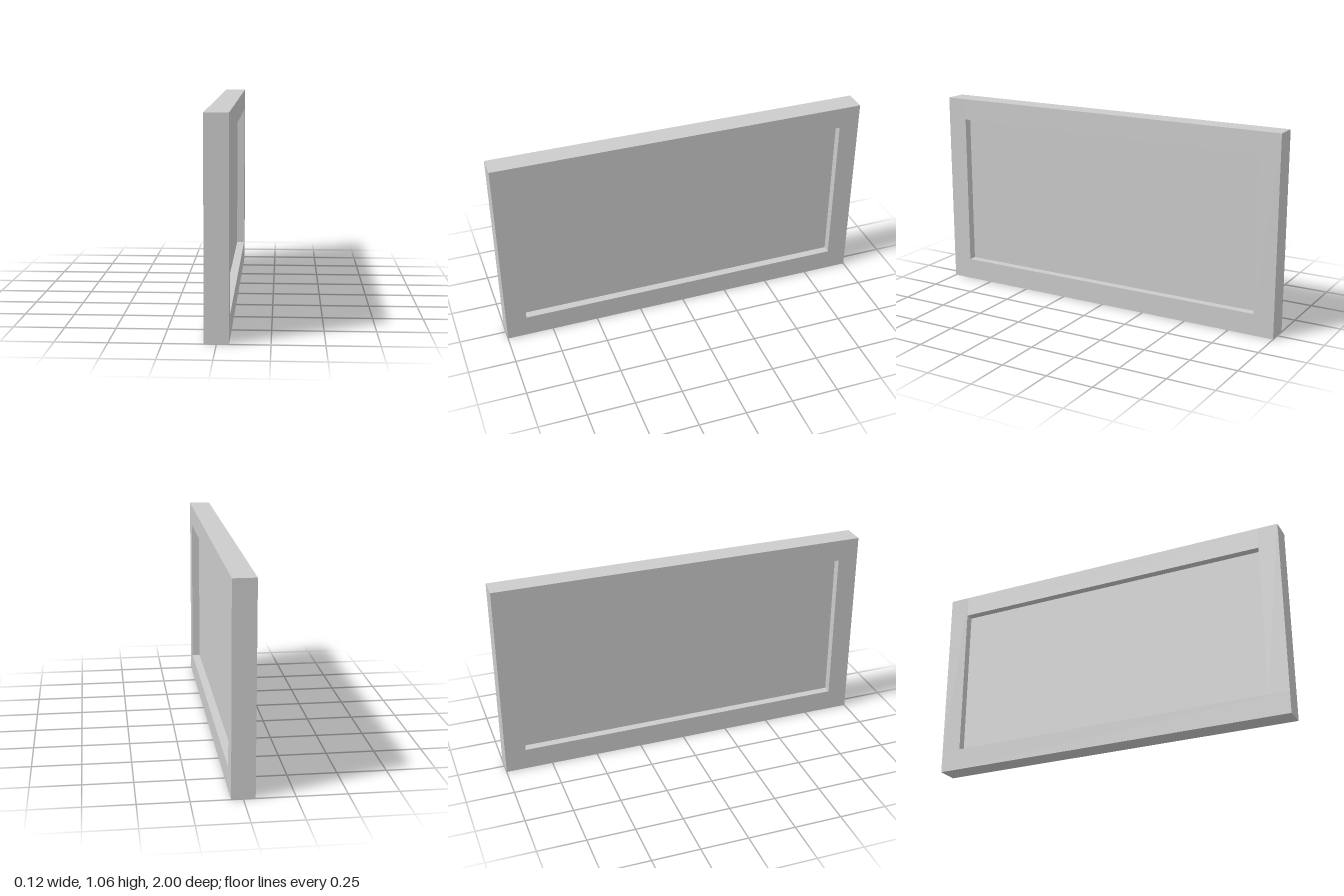
import * as THREE from 'three';

export function createModel() {
  const model = new THREE.Group();
  const material = new THREE.MeshStandardMaterial({ color: 0xcccccc });

  const depth = 0.116, height = 1.06, length = 2;
  const rail = 0.116, stile = 0.11, panelDepth = 0.03;

  const addBox = (name, w, h, l, y, z) => {
    const mesh = new THREE.Mesh(new THREE.BoxGeometry(w, h, l), material);
    mesh.name = name;
    mesh.position.set(0, y, z);
    model.add(mesh);
  };

  // Bottom rail runs the full length and carries the rest of the frame
  addBox('bottomRail', depth, rail, length, rail / 2, 0);

  // Upright stiles at the front and back ends
  const stileHeight = height - rail;
  for (const side of [1, -1]) {
    addBox(side > 0 ? 'frontStile' : 'backStile', depth, stileHeight, stile,
      rail + stileHeight / 2, side * (length - stile) / 2);
  }

  // Top rail fits between the stiles
  const innerLength = length - 2 * stile;
  addBox('topRail', depth, rail, innerLength, height - rail / 2, 0);

  // Thin centre panel, recessed on both faces
  addBox('panel', panelDepth, height - 2 * rail, innerLength, height / 2, 0);

  return model;
}
